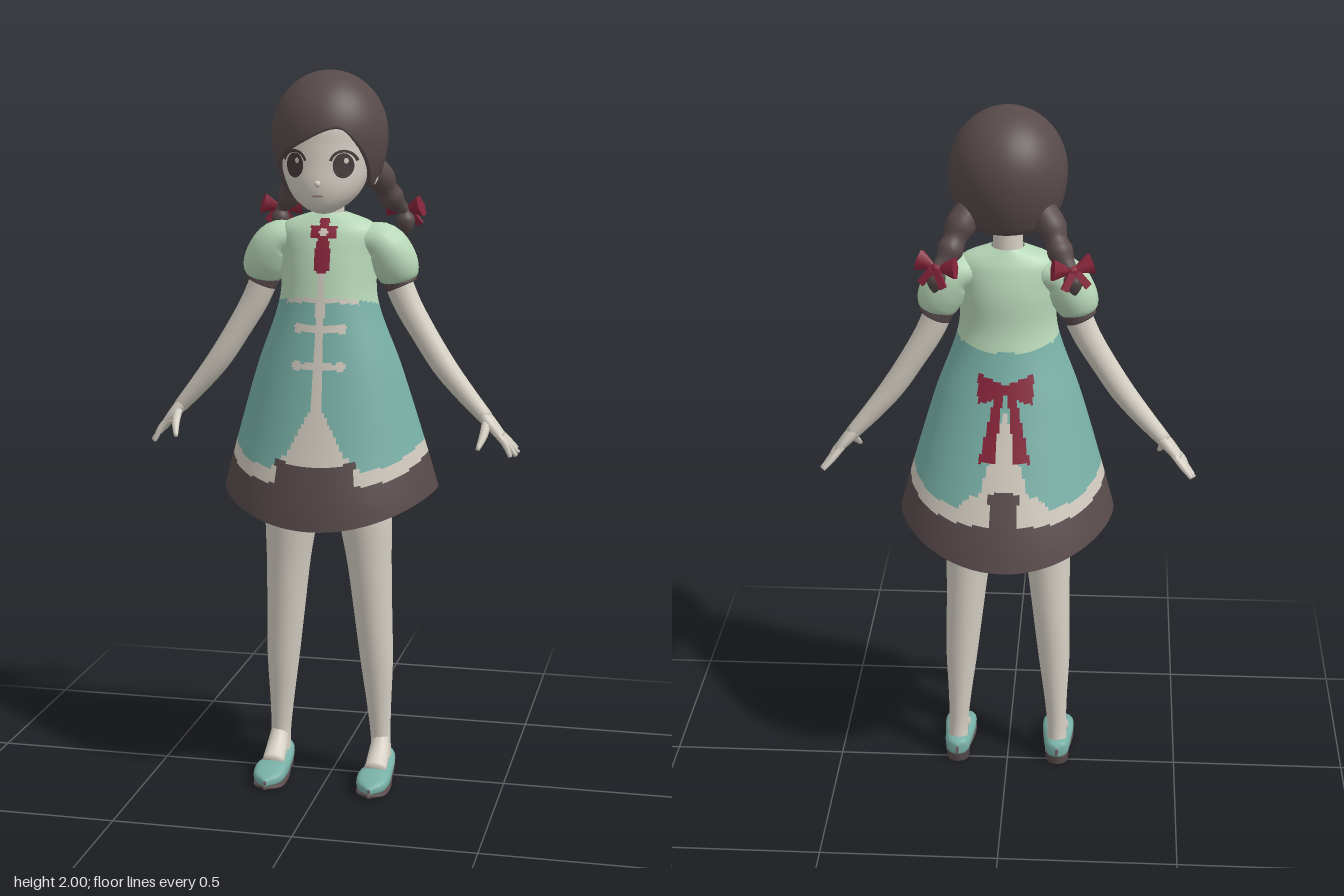
import * as THREE from 'three';

const mat = (name, color, side = THREE.FrontSide) =>
  Object.assign(new THREE.MeshStandardMaterial({ color, side }), { name });
const D = THREE.DoubleSide;
const skin = mat('skin', 0xd6d0c5);
const brown = mat('darkBrown', 0x584a4b, D);
const teal = mat('teal', 0x78b0a6, D);
const mint = mat('mint', 0xb7d7b7, D);
const cream = mat('cream', 0xcfc8bd, D);
const red = mat('red', 0x86243a, D);
const eyeDark = mat('eyeDark', 0x453a3a, D);
const lip = mat('lip', 0xa88a82, D);

// Closed grid: rows run along the part, columns wrap around it; paint picks a material per cell.
function grid(rows, cols, fn, mats, paint) {
  const pos = [], buckets = mats.map(() => []);
  for (let i = 0; i <= rows; i++)
    for (let j = 0; j < cols; j++) pos.push(...fn(i / rows, j / cols).toArray());
  for (let i = 0; i < rows; i++)
    for (let j = 0; j < cols; j++) {
      const k = (j + 1) % cols, a = i * cols + j, b = i * cols + k, c = a + cols, d = b + cols;
      const m = paint ? paint(fn((i + 0.5) / rows, (j + 0.5) / cols)) : 0;
      buckets[m].push(a, b, c, b, d, c);
    }
  const g = new THREE.BufferGeometry();
  g.setAttribute('position', new THREE.Float32BufferAttribute(pos, 3));
  g.setIndex(buckets.flat());
  let start = 0;
  buckets.forEach((b, m) => { g.addGroup(start, b.length, m); start += b.length; });
  g.computeVertexNormals();
  return new THREE.Mesh(g, mats.length > 1 ? mats : mats[0]);
}

// Smooth interpolation of a table whose first column is the key.
function sample(table, y) {
  const n = table.length;
  let i = 0;
  while (i < n - 2 && y > table[i + 1][0]) i++;
  const p = table[i], q = table[i + 1], h = q[0] - p[0];
  const t = Math.min(1, Math.max(0, (y - p[0]) / h));
  const slope = (k, c) => {
    const a = table[Math.max(0, k - 1)], b = table[Math.min(n - 1, k + 1)];
    return (b[c] - a[c]) / (b[0] - a[0]) * h;
  };
  return p.slice(1).map((v, c) => {
    const w = q[c + 1], t2 = t * t, t3 = t2 * t;
    return v * (2 * t3 - 3 * t2 + 1) + slope(i, c + 1) * (t3 - 2 * t2 + t)
      + w * (3 * t2 - 2 * t3) + slope(i + 1, c + 1) * (t3 - t2);
  });
}

// Limb along points [x, y, z, radius, depth radius], with closed ends; s mirrors it.
function limb(s, pts, material, cols = 16, rows = pts.length * 4) {
  const path = new THREE.CatmullRomCurve3(pts.map(p => new THREE.Vector3(s * p[0], p[1], p[2])));
  const radii = new THREE.CatmullRomCurve3(pts.map(p => new THREE.Vector3(p[3], p[4] ?? p[3], p[1])));
  return grid(rows + 2, cols, (u, v) => {
    const i = u * (rows + 2), t = Math.min(1, Math.max(0, (i - 1) / rows));
    const cap = i < 0.5 || i > rows + 1.5 ? 0.001 : 1;
    const d = path.getTangent(t), r = radii.getPoint(t), a = v * Math.PI * 2;
    const side = d.clone().cross(new THREE.Vector3(0, 0, 1)).normalize();
    const w = d.clone().cross(side);
    return path.getPoint(t).addScaledVector(side, r.x * cap * Math.cos(a)).addScaledVector(w, r.y * cap * Math.sin(a));
  }, [material]);
}

// Tables of [y, half width, half depth, centre z]
const dressTable = [
  [0.77, 0.317, 0.272, 0], [0.855, 0.3, 0.252, 0.006], [1.0, 0.26, 0.208, 0.017], [1.2, 0.2, 0.152, 0.033],
  [1.38, 0.137, 0.108, 0.043], [1.5, 0.133, 0.093, 0.036], [1.57, 0.138, 0.075, 0.034],
  [1.597, 0.112, 0.06, 0.032], [1.62, 0.045, 0.045, 0.03]];
const headTable = [
  [1.622, 0.015, 0.02, 0.11], [1.632, 0.042, 0.055, 0.105], [1.66, 0.08, 0.084, 0.092], [1.7, 0.106, 0.104, 0.078],
  [1.75, 0.124, 0.118, 0.06], [1.8, 0.133, 0.124, 0.05], [1.87, 0.132, 0.125, 0.04], [1.95, 0.07, 0.08, 0.03]];
const ring = (table, y, a) => {
  const [rx, rz, cz] = sample(table, y);
  return new THREE.Vector3(rx * Math.sin(a), y, cz + rz * Math.cos(a));
};

// Dress colours: 0 teal, 1 mint, 2 cream, 3 brown, 4 red
function dressPaint({ x, y, z }) {
  const s = Math.abs(x), [rx, , cz] = sample(dressTable, y), c = Math.min(1, s / rx), front = z > cz;
  const depth = (front ? 1 : -1) * Math.sqrt(1 - c * c);
  if (front && y > 1.46) { // chest bow
    if (Math.hypot(x, y - 1.57) < 0.012) return 2;
    if ((s < 0.02 && y > 1.47 && y < 1.55) || (s < 0.036 && y > 1.552 && y < 1.588) || (s < 0.014 && y < 1.605)) return 4;
  }
  const waist = 1.372 + 0.025 * depth;
  if (front && s < 0.01 && y > 1.05 && y < 1.49) return 2;
  if (y > waist) return 1;
  if (front && s < 0.1 && y > waist - 0.012) return 2;
  if (!front) { // back bow with two tails
    const tail = 0.02 + (1.22 - y) * 0.18;
    if (s < 0.075 && Math.abs(y - 1.25) < 0.014 + 0.35 * s) return 4;
    if (y < 1.25 && y > 1.06 && Math.abs(s - tail) < 0.012 + (1.22 - y) * 0.06) return 4;
  }
  // Scalloped hem band with a raised tongue at the centre
  let band = 0.897 + 0.06 * c ** 4;
  if (front && s < 0.11) band = s > 0.075 ? 0.962 : 0.95;
  if (!front && s < 0.04) band = 0.985;
  if (y < band) return 3;
  if (y < 0.935 + 0.06 * c ** 4 || (y < 0.975 && s < 0.125 - (y - 0.94))) return 2;
  const open = front ? 0.012 + Math.max(0, 1.11 - y) * 0.5 : Math.max(0, 1.2 - y) * 0.3;
  if (s < open) return 2;
  // Cloth fasteners
  if (front) for (const k of [1.315, 1.215])
    if ((s < 0.06 && Math.abs(y - k) < 0.008) || Math.hypot(s - 0.058, y - k) < 0.014) return 2;
  return 0;
}

// Lower hair edge as [angle from the front, y]: side-parted fringe, side locks, back
const hairEdge = [
  [-3.15, 1.69], [-2.2, 1.7], [-1.65, 1.735], [-1.3, 1.69], [-0.95, 1.755], [-0.3, 1.81], [0.35, 1.85],
  [0.7, 1.81], [0.98, 1.755], [1.3, 1.69], [1.65, 1.735], [2.2, 1.7], [3.15, 1.69]];
function hairPoint(u, v) {
  const a = v * Math.PI * 2 - Math.PI, b = sample(hairEdge, a)[0];
  const lipRow = u < 0.015, t = Math.max(0, (u - 0.03) / 0.97);
  const y = b + (2 - b) * Math.sin(t * Math.PI / 2) + (lipRow ? 0.006 : 0);
  let f = y > 1.83 ? Math.sqrt(Math.max(0, 1 - ((y - 1.83) / 0.17) ** 2)) : 1 - 0.25 * ((1.83 - y) / 0.15) ** 2;
  if (lipRow) f *= 0.84;
  return new THREE.Vector3(0.158 * f * Math.sin(a), y, 0.028 + 0.165 * f * Math.cos(a));
}

// Thin patch laid on the face
function facePatch(geometry, cx, cy, sx, sy, off, material) {
  geometry.scale(sx, sy, 1).translate(cx, cy, 0);
  const p = geometry.attributes.position;
  for (let i = 0; i < p.count; i++) {
    const [rx, rz, cz] = sample(headTable, p.getY(i));
    p.setZ(i, cz + rz * Math.sqrt(Math.max(0, 1 - (p.getX(i) / rx) ** 2)) + off);
  }
  geometry.computeVertexNormals();
  return new THREE.Mesh(geometry, material);
}

// Shoe body from [z, half width, bottom y, top y]
const shoeLoft = (cx, table, material) => grid(22, 20, (u, v) => {
  const z0 = table[0][0], z1 = table[table.length - 1][0];
  const z = z0 + (z1 - z0) * (1 - Math.cos(u * Math.PI)) / 2;
  const [w, b, t] = sample(table, z), a = v * Math.PI * 2, sq = q => Math.sign(q) * Math.abs(q) ** 0.7;
  return new THREE.Vector3(cx + w * sq(Math.cos(a)), (b + t) / 2 + (t - b) / 2 * sq(Math.sin(a)), z);
}, [material]);

function hairBow(s) {
  const bow = new THREE.Group();
  for (const k of [-1, 1]) {
    const lobe = new THREE.Mesh(new THREE.CylinderGeometry(0.032, 0.008, 0.05, 6), red);
    lobe.scale.z = 0.55;
    lobe.rotation.z = -k * 1.35;
    lobe.position.set(k * 0.03, 0.006, 0);
    const tail = new THREE.Mesh(new THREE.BoxGeometry(0.02, 0.05, 0.008), red);
    tail.position.set(k * 0.02, -0.025, -0.012);
    tail.rotation.z = k * 0.6;
    bow.add(lobe, tail);
  }
  bow.add(new THREE.Mesh(new THREE.SphereGeometry(0.015, 10, 8), red));
  bow.position.set(s * 0.178, 1.612, -0.142);
  bow.rotation.set(0.25, -s * 0.38, s * 0.15);
  return bow;
}

export function createModel() {
  const model = new THREE.Group();
  const add = (name, part) => { part.name = name; model.add(part); return part; };

  // Body, dress and head
  add('dress', grid(128, 192, (u, v) => {
    const a = v * Math.PI * 2, hem = 0.855 - 0.078 * Math.cos(a) ** 2;
    return ring(dressTable, hem + (1.62 - hem) * u, a);
  }, [teal, mint, cream, brown, red], dressPaint));
  add('hips', limb(1, [[0, 1.3, 0.04, 0.1, 0.07], [0, 1.1, 0.035, 0.13, 0.085], [0, 0.95, 0.04, 0.12, 0.07]], skin));
  add('neck', limb(1, [[0, 1.56, 0.03, 0.045], [0, 1.61, 0.029, 0.041], [0, 1.7, 0.032, 0.041]], skin));
  add('head', grid(30, 36, (u, v) => ring(headTable, 1.622 + 0.328 * u, v * Math.PI * 2), [skin]));
  add('chin', new THREE.Mesh(new THREE.SphereGeometry(0.04, 16, 10).scale(1, 0.45, 1.2).translate(0, 1.638, 0.105), skin));
  add('nose', new THREE.Mesh(new THREE.SphereGeometry(0.009, 10, 8).translate(0, 1.705, 0.183), skin));
  add('mouth', facePatch(new THREE.CircleGeometry(1, 12), 0, 1.672, 0.017, 0.003, 0.003, lip));
  add('hair', grid(34, 72, hairPoint, [brown]));

  for (const s of [1, -1]) {
    const side = s > 0 ? 'left' : 'right';
    const part = (name, mesh) => add(side + name, mesh);

    // Face details
    part('Eye', facePatch(new THREE.CircleGeometry(1, 24), s * 0.066, 1.753, 0.026, 0.033, 0.004, eyeDark));
    part('EyeGlint', facePatch(new THREE.CircleGeometry(1, 10), s * 0.066 + 0.008, 1.766, 0.006, 0.008, 0.007, cream));
    part('Lash', facePatch(new THREE.RingGeometry(0.85, 1.05, 16, 1, 0.3, Math.PI - 0.6), s * 0.067, 1.755, 0.036, 0.038, 0.005, eyeDark));
    const ear = new THREE.Mesh(new THREE.SphereGeometry(0.028, 12, 10).scale(0.5, 1.1, 0.8), skin);
    ear.position.set(s * 0.122, 1.725, 0.035);
    part('Ear', ear);

    // Pigtail
    part('Pigtail', limb(s, [[0.09, 1.755, -0.045, 0.035], [0.12, 1.705, -0.072, 0.041], [0.133, 1.675, -0.09, 0.031],
      [0.145, 1.65, -0.106, 0.035], [0.16, 1.628, -0.122, 0.024], [0.177, 1.61, -0.138, 0.016],
      [0.18, 1.585, -0.138, 0.026], [0.183, 1.56, -0.137, 0.018], [0.185, 1.543, -0.136, 0.004]], brown, 12));
    part('HairBow', hairBow(s));

    // Sleeve and arm
    part('Sleeve', limb(s, [[0.09, 1.55, 0.03, 0.04, 0.055], [0.145, 1.535, 0.026, 0.058, 0.066],
      [0.178, 1.485, 0.022, 0.064, 0.064], [0.193, 1.447, 0.019, 0.055, 0.052], [0.197, 1.434, 0.018, 0.044, 0.042]], mint, 20));
    part('Cuff', limb(s, [[0.189, 1.443, 0.018, 0.046, 0.043], [0.199, 1.42, 0.018, 0.046, 0.043]], brown, 20));
    part('Arm', limb(s, [[0.18, 1.45, 0.018, 0.04, 0.036], [0.215, 1.37, 0.018, 0.038, 0.035], [0.263, 1.288, 0.019, 0.035, 0.035],
      [0.32, 1.2, 0.02, 0.033, 0.034], [0.38, 1.125, 0.018, 0.027, 0.029], [0.437, 1.06, 0.015, 0.02, 0.024]], skin));
    part('Palm', limb(s, [[0.425, 1.073, 0.015, 0.02, 0.024], [0.45, 1.045, 0.016, 0.017, 0.033],
      [0.478, 1.012, 0.012, 0.012, 0.036]], skin, 12));
    const tips = [[0.515, 0.97, -0.04], [0.523, 0.962, -0.014], [0.52, 0.958, 0.014], [0.508, 0.96, 0.042]];
    tips.forEach(([x, y, z], k) => part('Finger' + (k + 1), limb(s, [[0.463, 1.027, -0.01 + k * 0.016, 0.009],
      [0.49, 0.997, (z - 0.012 + k * 0.016) / 2, 0.009], [x, y, z, 0.006]], skin, 8)));
    part('Thumb', limb(s, [[0.438, 1.055, 0.028, 0.012], [0.437, 1.025, 0.064, 0.012], [0.426, 0.99, 0.102, 0.006]], skin, 8));

    // Leg and shoe
    part('Leg', limb(s, [[0.075, 1.05, 0.045, 0.065, 0.07], [0.09, 0.92, 0.046, 0.074, 0.076], [0.105, 0.78, 0.047, 0.075, 0.073],
      [0.116, 0.65, 0.042, 0.063, 0.066], [0.126, 0.5, 0.035, 0.054, 0.059], [0.136, 0.35, 0.029, 0.046, 0.049],
      [0.143, 0.2, 0.022, 0.033, 0.036], [0.147, 0.11, 0.02, 0.028, 0.031], [0.149, 0.04, 0.02, 0.03, 0.036]], skin, 20));
    part('Instep', limb(s, [[0.149, 0.125, 0.022, 0.024, 0.025], [0.149, 0.085, 0.055, 0.03, 0.028],
      [0.149, 0.05, 0.115, 0.032, 0.024]], skin));
    part('Shoe', shoeLoft(s * 0.149, [[-0.036, 0.004, 0.03, 0.06], [-0.026, 0.028, 0.022, 0.074], [0.02, 0.039, 0.02, 0.07],
      [0.07, 0.042, 0.012, 0.056], [0.13, 0.047, 0.01, 0.06], [0.18, 0.038, 0.01, 0.046], [0.207, 0.004, 0.014, 0.03]], teal));
    part('Sole', shoeLoft(s * 0.149, [[-0.03, 0.02, 0.016, 0.028], [0.03, 0.036, 0.014, 0.026], [0.08, 0.042, 0, 0.015],
      [0.13, 0.047, 0, 0.014], [0.18, 0.039, 0, 0.013], [0.206, 0.005, 0.004, 0.013]], brown));
    const heel = new THREE.Mesh(new THREE.CylinderGeometry(0.036, 0.033, 0.03, 16), brown);
    heel.position.set(s * 0.149, 0.015, 0.003);
    part('Heel', heel);
  }
  return model;
}
